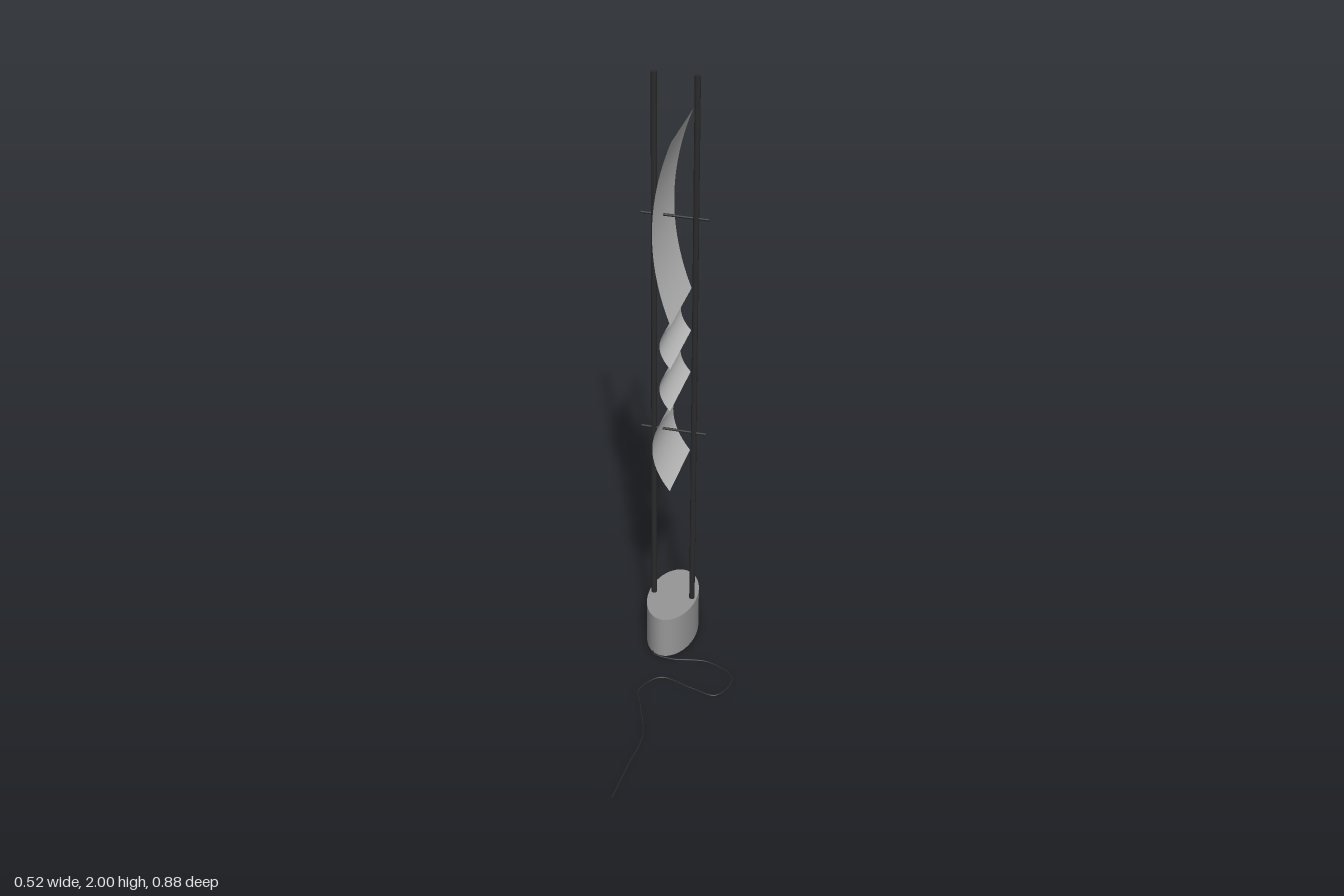
import * as THREE from 'three';

export function createModel() {
  const model = new THREE.Group();
  model.name = 'floorLamp';
  const stone = new THREE.MeshStandardMaterial({ name: 'base grey', color: 0x979797 });
  const metal = new THREE.MeshStandardMaterial({ name: 'sheet silver', color: 0xc2c2c2, side: THREE.DoubleSide });
  const black = new THREE.MeshStandardMaterial({ name: 'dark metal', color: 0x2a2a2a });

  const add = (parent, name, geometry, material, x = 0, y = 0, z = 0) => {
    const mesh = new THREE.Mesh(geometry, material);
    mesh.name = name;
    mesh.position.set(x, y, z);
    parent.add(mesh);
    return mesh;
  };

  // Lamp body: turned 30 degrees, local x points through the sheet
  const lamp = new THREE.Group();
  lamp.name = 'lampBody';
  lamp.position.set(0.133, 0, -0.3125);
  lamp.rotation.y = -Math.PI / 6;
  model.add(lamp);

  // Oval base
  const base = new THREE.CylinderGeometry(1, 1, 0.15, 64);
  base.scale(0.081, 1, 0.143);
  add(lamp, 'base', base, stone, 0, 0.075, 0);

  // Two uprights, one on each side of the sheet
  for (const side of [-1, 1]) {
    add(lamp, side < 0 ? 'backRod' : 'frontRod',
      new THREE.CylinderGeometry(0.009, 0.009, 1.85, 16), black, side * 0.065, 1.075, 0);
  }

  // Crossbars through rods and sheet
  for (const y of [0.8, 1.55]) {
    const bar = new THREE.CylinderGeometry(0.004, 0.004, 0.212, 12);
    bar.rotateZ(Math.PI / 2);
    add(lamp, 'crossbar', bar, black, 0, y, 0);
  }

  // Bowed reflector panels, meeting in sharp creases: [bottom, top, depth]
  const panels = [
    [0.65, 0.946, 0.057],
    [0.946, 1.096, 0.034],
    [1.096, 1.246, 0.034],
    [1.246, 1.843, 0.057],
  ];
  for (const [bottom, top, depth] of panels) {
    const height = top - bottom;
    const panel = new THREE.PlaneGeometry(0.249, height, 1, 24);
    panel.rotateY(Math.PI / 2);
    const p = panel.attributes.position;
    for (let i = 0; i < p.count; i++) {
      const t = (2 * p.getY(i)) / height;
      p.setX(i, 0.021 - depth * (1 - t * t));
    }
    panel.computeVertexNormals();
    add(lamp, 'reflectorPanel', panel, metal, 0, (bottom + top) / 2, 0);
  }

  // Power cable winding over the floor
  const path = [
    [0.05, -0.23], [0.037, -0.205], [0.09, -0.16], [0.2, -0.115], [0.255, -0.015],
    [0.178, 0.055], [0.112, 0], [0.03, -0.077], [-0.055, -0.033], [-0.067, 0.03],
    [-0.098, 0.187], [-0.18, 0.317], [-0.257, 0.439],
  ].map(([x, z]) => new THREE.Vector3(x, 0.0025, z));
  add(model, 'cable', new THREE.TubeGeometry(new THREE.CatmullRomCurve3(path), 160, 0.0025, 8), black);

  return model;
}
